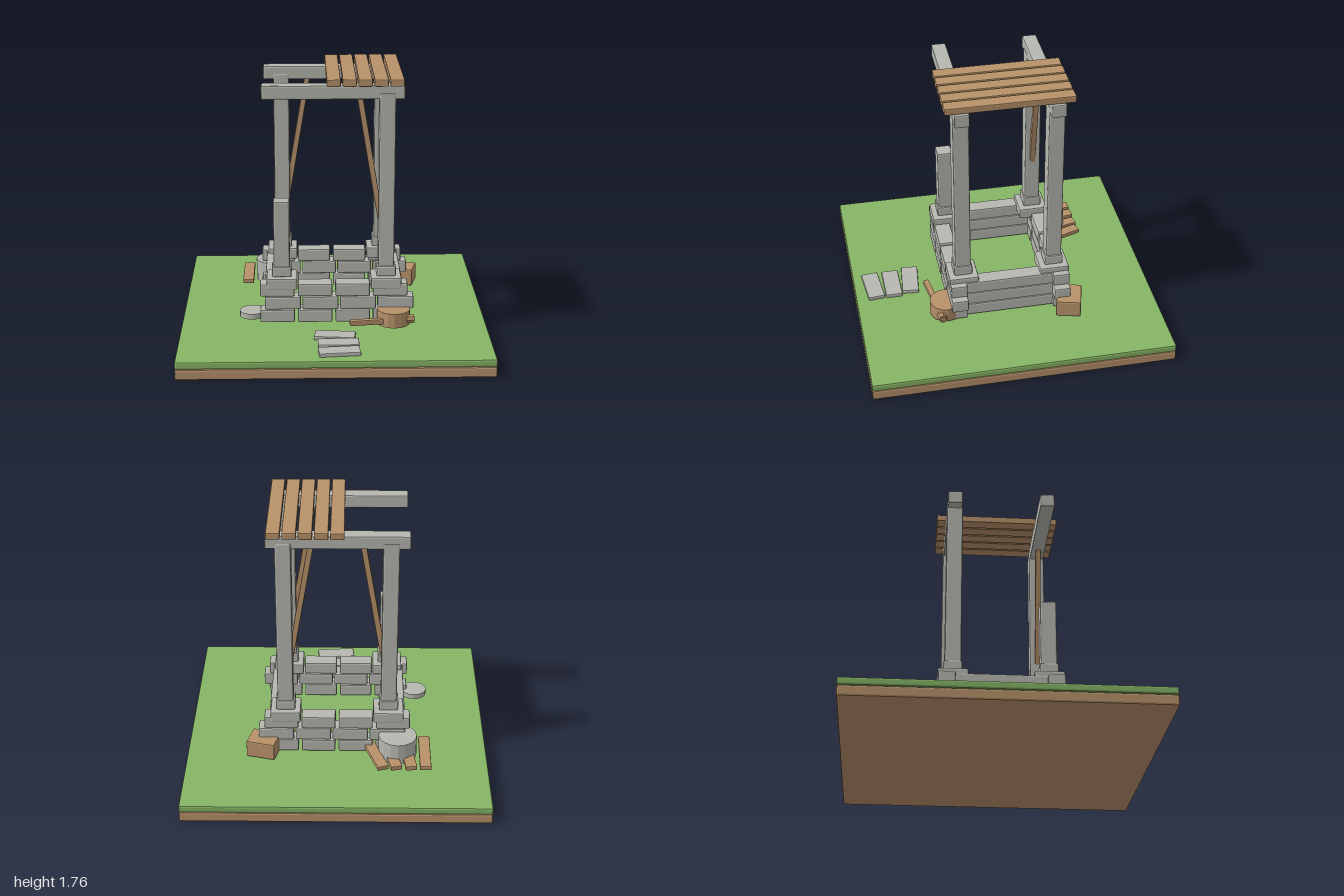
import * as THREE from 'three';
import { RoundedBoxGeometry } from 'three/addons/geometries/RoundedBoxGeometry.js';

const stone = new THREE.MeshStandardMaterial({ color: 0xb7b8b1 });
stone.name = 'stone';
const wood = new THREE.MeshStandardMaterial({ color: 0xb8926a });
wood.name = 'wood';
const grass = new THREE.MeshStandardMaterial({ color: 0x86b566 });
grass.name = 'grass';

// Gives every face its own flat normal
function flat(geometry) {
  const g = geometry.index ? geometry.toNonIndexed() : geometry;
  g.computeVertexNormals();
  return g;
}

export function createModel() {
  const model = new THREE.Group();
  model.name = 'ruinedWell';

  function add(name, geometry, material, pos, ry = 0, rz = 0) {
    const mesh = new THREE.Mesh(flat(geometry), material);
    mesh.name = name;
    mesh.position.set(...pos);
    mesh.rotation.set(0, ry, rz);
    model.add(mesh);
    return mesh;
  }

  // Box with chamfered edges
  function box(name, material, size, pos, ry = 0, rz = 0, bevel = 0.01) {
    return add(name, new RoundedBoxGeometry(...size, 1, bevel), material, pos, ry, rz);
  }

  function drum(name, material, radius, height, pos, sides = 16) {
    return add(name, new THREE.CylinderGeometry(radius, radius, height, sides), material, pos);
  }

  // Ground slab
  box('soil', wood, [2, 0.07, 2], [0, 0.035, 0], 0, 0, 0.012);
  box('grass', grass, [2, 0.05, 2], [0, 0.095, 0], 0, 0, 0.012);

  // Walls: brick courses at front and back, long slabs at the sides
  for (let course = 0; course < 3; course++) {
    const y = 0.18 + course * 0.09;
    const staggered = course === 1;
    for (const s of [-1, 1]) {
      for (let i = 0; i < 4; i++) {
        const x = (staggered ? -0.335 : -0.37) + i * 0.246;
        box('wallBlock', stone, [staggered ? 0.235 : 0.225, 0.087, 0.11], [x, y, s * 0.345]);
      }
      box('sideSlab', stone, [0.1, 0.087, 0.6], [s * 0.4, y, 0]);
    }
  }

  // Posts on stepped plinths; the front right one is broken off
  for (const sx of [-1, 1]) {
    for (const sz of [-1, 1]) {
      const x = sx * 0.34, z = sz * 0.305;
      const broken = sx < 0 && sz > 0;
      const top = broken ? 0.95 : 1.66;
      box('plinth', stone, [0.2, 0.077, 0.195], [x, 0.402, z]);
      box('postFoot', stone, [0.128, 0.07, 0.122], [x, 0.475, z]);
      box('post', stone, [0.105, top - 0.45, 0.105], [x, (top + 0.45) / 2, z]);

      // Slanted brace between post and beam
      if (!broken) {
        const dx = 0.145, dy = 0.86;
        box('brace', wood, [0.036, Math.hypot(dx, dy), 0.036],
          [sx * 0.232, 1.235, z], 0, sx * Math.atan2(dx, dy), 0.004);
      }
    }
  }

  // Roof beams and remaining planks
  for (const s of [-1, 1]) {
    box('beam', stone, [0.91, 0.09, 0.095], [-0.005, 1.665, s * 0.305]);
  }
  for (let i = 0; i < 5; i++) {
    box('roofPlank', wood, [0.088, 0.046, 0.825], [-0.003 + i * 0.1, 1.737, 0], 0, 0, 0.007);
  }

  // Stepping stones
  [[0, 0.615, -0.1], [0.02, 0.742, 0], [0.022, 0.873, 0.09]].forEach(([x, z, ry]) =>
    box('steppingStone', stone, [0.262, 0.03, 0.112], [x, 0.13, z], ry, 0, 0.007));

  // Fallen planks fanned out behind the wall
  [[-0.583, -0.465, 0], [-0.468, -0.468, 0.13], [-0.355, -0.47, 0.22], [-0.25, -0.475, 0.32]]
    .forEach(([x, z, ry]) =>
      box('fallenPlank', wood, [0.075, 0.032, 0.355], [x, 0.172, z], ry, 0, 0.006));

  // Loose round stones
  drum('stoneDrum', stone, 0.127, 0.147, [-0.402, 0.22, -0.435]);
  drum('stoneDisc', stone, 0.086, 0.036, [-0.535, 0.174, 0.305]);

  // Bucket and its handle
  drum('bucket', wood, 0.108, 0.097, [0.388, 0.191, 0.425]);
  box('bucketHandle', wood, [0.425, 0.036, 0.038], [0.31, 0.178, 0.488], 0.14, 0, 0.006);
  const knob = add('handleKnob', new THREE.CylinderGeometry(0.03, 0.03, 0.05, 8), wood,
    [0.492, 0.183, 0.465], 0.14, Math.PI / 2);
  knob.rotation.order = 'YXZ';

  // Crate
  box('crate', wood, [0.195, 0.12, 0.165], [0.488, 0.186, -0.395], -0.25, 0, 0.01);

  return model;
}
